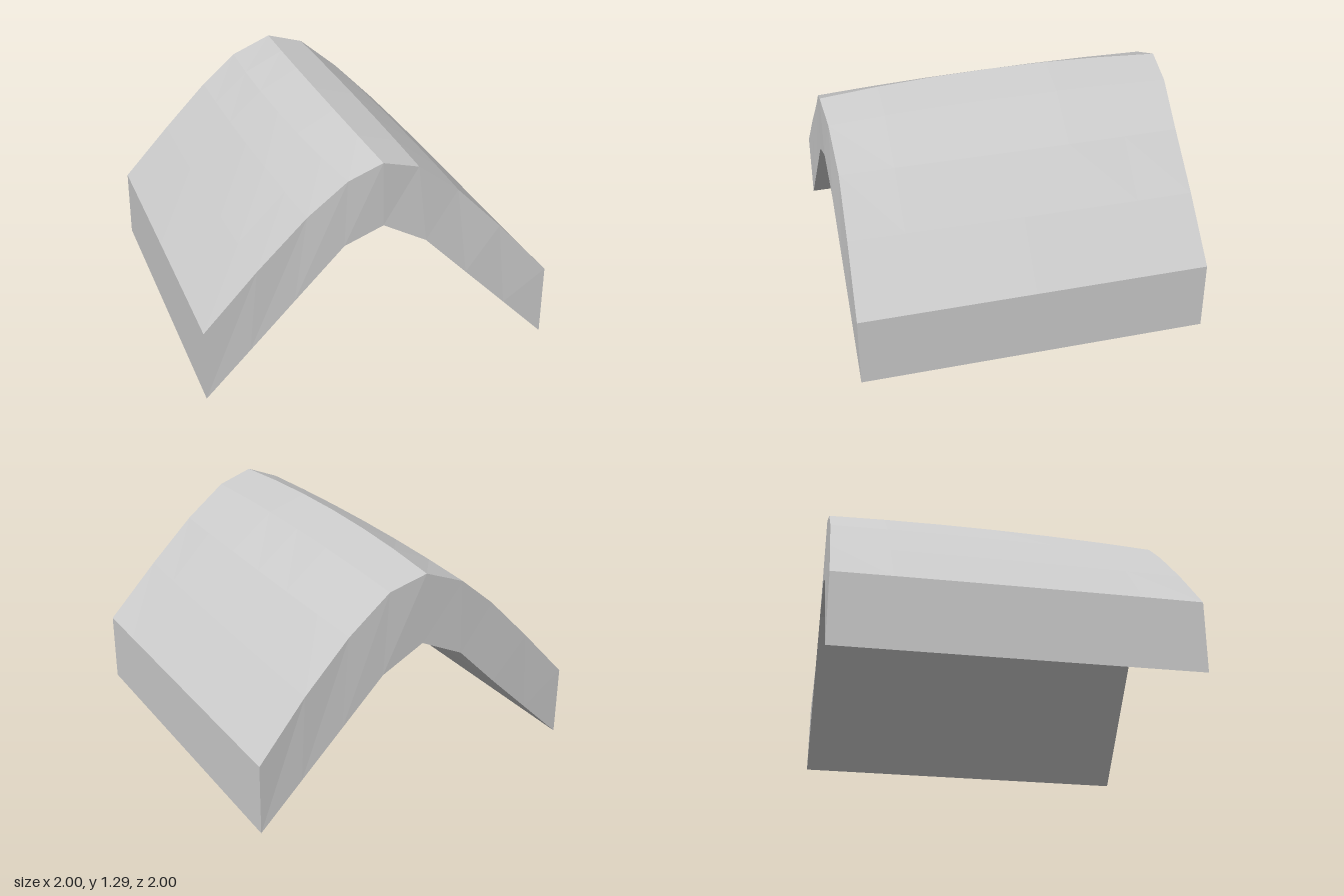
import * as THREE from 'three';

// Outer profile, left to right, at the front, middle and back: [x, y]
const outer = [
  [[-1, 0.41], [-0.7, 0.72], [-0.42, 0.985], [-0.2, 1.16], [-0.01, 1.24], [0.2, 1.18], [0.44, 1.0], [0.7, 0.74], [1, 0.415]],
  [[-1, 0.415], [-0.72, 0.72], [-0.46, 0.99], [-0.265, 1.165], [-0.04, 1.285], [0.2, 1.215], [0.46, 1.01], [0.72, 0.74], [1, 0.415]],
  [[-1, 0.415], [-0.72, 0.72], [-0.46, 0.99], [-0.25, 1.17], [-0.01, 1.27], [0.21, 1.21], [0.45, 1.01], [0.72, 0.74], [1, 0.415]],
];
// Underside profile, left to right
const inner = [
  [[-1, 0], [-0.75, 0.253], [-0.5, 0.507], [-0.22, 0.79], [0, 0.875], [0.25, 0.74], [0.5, 0.493], [0.75, 0.247], [1, 0]],
  [[-1, 0], [-0.75, 0.245], [-0.5, 0.49], [-0.26, 0.735], [0, 0.87], [0.25, 0.74], [0.5, 0.493], [0.75, 0.247], [1, 0]],
  [[-1, 0], [-0.75, 0.245], [-0.5, 0.49], [-0.26, 0.735], [0, 0.865], [0.25, 0.74], [0.5, 0.493], [0.75, 0.247], [1, 0]],
];
// Slight hollow of the upper edge at each end
const frontHollow = [0, 0.01, 0.018, 0.01, 0, 0.015, 0.025, 0.015, 0];
const backHollow = [0, 0.003, 0.006, 0.003, 0, 0.012, 0.02, 0.012, 0];

// Smooth blend through front (t = 0), middle (0.5) and back (1)
const blend = (t, a, b, c) =>
  a * (1 - t) * (1 - 2 * t) + 4 * b * t * (1 - t) + c * t * (2 * t - 1);

function archGeometry(segments) {
  const n = outer[0].length;
  const ring = 2 * n;
  const positions = [];
  const index = [];
  const quad = (a, b, c, d) => index.push(a, b, c, a, c, d);

  // Closed rings: outer left to right, then underside right to left
  for (let i = 0; i <= segments; i++) {
    const t = i / segments;
    for (let j = 0; j < ring; j++) {
      const top = j < n;
      const k = top ? j : ring - 1 - j;
      const [f, m, b] = top ? outer : inner;
      let z = 1 - 2 * t;
      if (top && i === 0) z -= frontHollow[k];
      if (top && i === segments) z += backHollow[k];
      positions.push(blend(t, f[k][0], m[k][0], b[k][0]), blend(t, f[k][1], m[k][1], b[k][1]), z);
    }
  }
  // Walls along the length
  for (let i = 0; i < segments; i++) {
    for (let j = 0; j < ring; j++) {
      const next = (j + 1) % ring;
      const a = i * ring, b = a + ring;
      quad(a + j, a + next, b + next, b + j);
    }
  }
  // End faces
  const last = segments * ring;
  for (let k = 0; k < n - 1; k++) {
    const p = ring - 1 - k;
    quad(p, p - 1, k + 1, k);
    quad(last + k, last + k + 1, last + p - 1, last + p);
  }

  const geometry = new THREE.BufferGeometry();
  geometry.setAttribute('position', new THREE.Float32BufferAttribute(positions, 3));
  geometry.setIndex(index);
  const flat = geometry.toNonIndexed();
  flat.computeVertexNormals();
  return flat;
}

export function createModel() {
  const group = new THREE.Group();
  group.name = 'roofRidge';
  const material = new THREE.MeshStandardMaterial({ color: 0xcccccc, flatShading: true });
  const arch = new THREE.Mesh(archGeometry(6), material);
  arch.name = 'ridgeCap';
  group.add(arch);
  return group;
}
